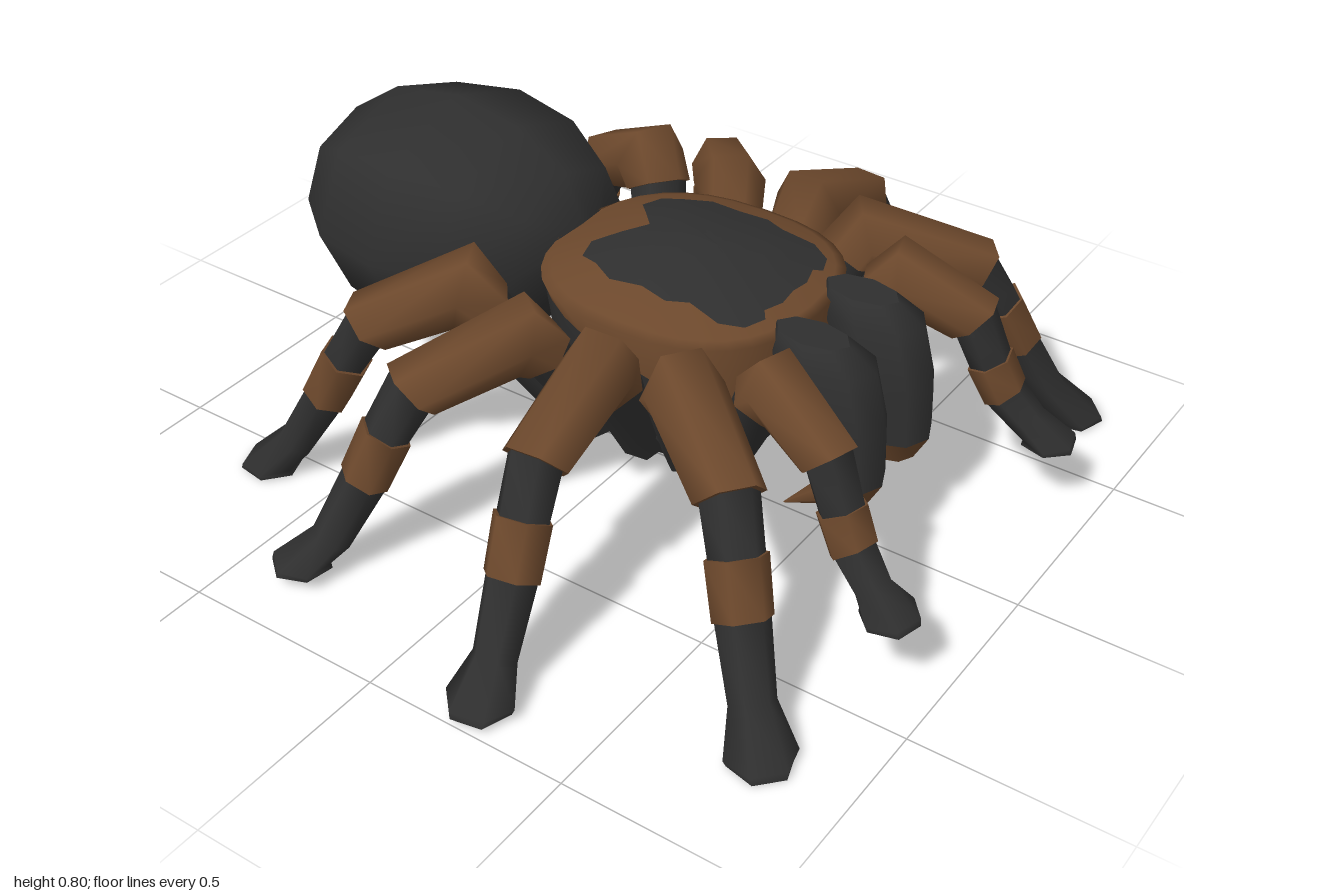
import * as THREE from 'three';

const V = (x, y, z) => new THREE.Vector3(x, y, z);
const X = V(1, 0, 0), Y = V(0, 1, 0), Z = V(0, 0, 1);

// Elliptical ring around c, spanned by s and n (s x n points along the loft)
function ring(c, s, n, a, b, sides) {
  return Array.from({ length: sides }, (_, j) => {
    const t = (j / sides) * Math.PI * 2;
    return c.clone().addScaledVector(s, a * Math.cos(t)).addScaledVector(n, b * Math.sin(t));
  });
}

// Skin a list of rings; smooth sides, sharp end caps
function loft(rings, capStart = true, capEnd = true) {
  const pos = [], idx = [], m = rings[0].length;
  rings.forEach(r => r.forEach(p => pos.push(p.x, p.y, p.z)));
  for (let i = 0; i < rings.length - 1; i++) {
    for (let j = 0; j < m; j++) {
      const a = i * m + j, b = i * m + (j + 1) % m;
      idx.push(a, b, a + m, b, b + m, a + m);
    }
  }
  const cap = (r, flip) => {
    const o = pos.length / 3;
    r.forEach(p => pos.push(p.x, p.y, p.z));
    for (let j = 1; j < m - 1; j++) {
      if (flip) idx.push(o, o + j + 1, o + j);
      else idx.push(o, o + j, o + j + 1);
    }
  };
  if (capStart) cap(rings[0], true);
  if (capEnd) cap(rings[rings.length - 1], false);
  const g = new THREE.BufferGeometry();
  g.setAttribute('position', new THREE.Float32BufferAttribute(pos, 3));
  g.setIndex(idx);
  g.computeVertexNormals();
  return g;
}

// Carapace plan: rounded rectangle, with a low dome over it
const RX = 0.31, RZ = 0.328, CZ = 0.135, POW = 2.5;
const planNorm = (x, z) =>
  (Math.abs(x / RX) ** POW + Math.abs((z - CZ) / RZ) ** POW) ** (1 / POW);
const domeY = (x, z) => 0.642 - 0.08 * planNorm(x, z) ** 1.8;
// Lower edge of the brown, dipping towards the front
const hemY = (x, z) => 0.485 - 0.27 * (z - CZ);

function planRing(k, height, sides = 32) {
  return Array.from({ length: sides }, (_, j) => {
    const t = (j / sides) * Math.PI * 2;
    const c = Math.cos(t), s = Math.sin(t), e = 2 / POW;
    const x = k * RX * Math.sign(c) * Math.abs(c) ** e;
    const z = CZ + k * RZ * Math.sign(s) * Math.abs(s) ** e;
    return V(x, height(x, z), z);
  });
}

export function createModel() {
  const model = new THREE.Group();
  model.name = 'spider';
  const black = new THREE.MeshStandardMaterial({ name: 'charcoal', color: 0x2f2f2f });
  const brown = new THREE.MeshStandardMaterial({ name: 'brown', color: 0x6c482c });
  const add = (name, geo, mat, parent = model) => {
    const mesh = new THREE.Mesh(geo, mat);
    mesh.name = name;
    parent.add(mesh);
  };

  // Abdomen: eight-sided egg along z
  add('abdomen', loft([
    [-0.935, 0.004], [-0.86, 0.57], [-0.72, 0.9], [-0.54, 1],
    [-0.36, 0.9], [-0.22, 0.64], [-0.17, 0.2],
  ].map(([z, k]) => ring(V(0, 0.5, z), X, Y, 0.34 * k, 0.295 * k, 8))), black);

  // Carapace dome and sides, then the dark underside
  add('carapace', loft([
    ...[0.01, 0.2, 0.4, 0.6, 0.8, 0.93, 1].map(k => planRing(k, domeY)),
    planRing(0.98, hemY),
  ], true, false), brown);
  add('underside', loft([
    planRing(0.98, hemY), planRing(0.87, () => 0.28),
    planRing(0.68, () => 0.195), planRing(0.42, () => 0.17),
  ], false, true), black);

  // Ragged, notched dark patch lying on the dome
  const half = [
    [0.05, -0.03], [0.1, -0.075], [0.155, -0.06], [0.172, -0.01], [0.205, 0.05], [0.195, 0.13],
    [0.208, 0.2], [0.187, 0.25], [0.198, 0.33], [0.17, 0.38], [0.12, 0.4], [0.1, 0.385], [0.05, 0.4],
  ];
  const outline = [[0, 0.015], ...half, [0, 0.395], ...half.map(([x, z]) => [-x, z]).reverse()];
  add('carapacePatch', loft([0.01, 0.25, 0.5, 0.75, 1].map(k => outline.map(([x, z]) => {
    const px = x * k, pz = 0.2 + (z - 0.2) * k;
    return V(px, domeY(px, pz) + 0.005, pz);
  })), true, false), black);

  // Jaws with brown tips and back-curving fangs
  for (const side of [1, -1]) {
    const jaw = new THREE.Group();
    jaw.name = side > 0 ? 'leftJaw' : 'rightJaw';
    model.add(jaw);
    const rings = list => list.map(([y, z, a, b]) => ring(V(side * 0.105, y, z), X, Z, a, b, 8));
    add('jawBase', loft(rings([
      [0.585, 0.51, 0.05, 0.09], [0.54, 0.54, 0.084, 0.13],
      [0.4, 0.59, 0.087, 0.11], [0.26, 0.615, 0.083, 0.085],
    ])), black, jaw);
    add('jawTip', loft(rings([[0.26, 0.615, 0.083, 0.085], [0.195, 0.605, 0.05, 0.06]])), brown, jaw);
    add('fang', loft(rings([[0.21, 0.6, 0.052, 0.06], [0.11, 0.46, 0.003, 0.003]])), brown, jaw);
  }

  // Limbs: coxa, peaked femur, dark band, brown band, shin flaring to a flat foot
  // Heights: coxa base, femur root, femur peak, knee, band start, band end, ankle
  const legY = [0.23, 0.49, 0.54, 0.45, 0.35, 0.235, 0.09];
  const palpY = [0.25, 0.5, 0.545, 0.46, 0.36, 0.28, 0.215];
  const backY = [0.23, 0.51, 0.565, 0.455, 0.35, 0.235, 0.09];
  const limbs = [
    { name: 'Palp', base: [0.18, 0.36], hip: [0.27, 0.525], knee: [0.32, 0.685], foot: [0.37, 0.875], sole: 0.165, h: palpY, size: 0.9 },
    { name: 'FrontLeg', base: [0.22, 0.27], hip: [0.38, 0.368], knee: [0.53, 0.58], foot: [0.72, 0.79], sole: 0, h: legY, size: 1 },
    { name: 'SecondLeg', base: [0.23, 0.16], hip: [0.425, 0.18], knee: [0.66, 0.19], foot: [0.93, 0.24], sole: 0.015, h: legY, size: 1 },
    { name: 'ThirdLeg', base: [0.22, 0.03], hip: [0.41, -0.035], knee: [0.61, -0.185], foot: [0.82, -0.355], sole: 0.03, h: legY, size: 0.97 },
    { name: 'BackLeg', base: [0.2, -0.09], hip: [0.36, -0.235], knee: [0.465, -0.43], foot: [0.565, -0.69], sole: 0.005, h: backY, size: 1 },
  ];
  // Name, colour and radius at each joint, beginning at the given joint
  const segments = [
    ['coxa', black, 0, [0.055, 0.07]], ['femur', brown, 1, [0.08, 0.09, 0.08]],
    ['darkBand', black, 3, [0.066, 0.061]], ['brownBand', brown, 4, [0.069, 0.066]],
    ['shin', black, 5, [0.06, 0.052]],
  ];

  function buildLimb(limb, side) {
    const group = new THREE.Group();
    group.name = (side > 0 ? 'left' : 'right') + limb.name;
    model.add(group);
    const { base, hip, knee, foot, size } = limb;
    const femurLength = Math.hypot(knee[0] - hip[0], knee[1] - hip[1]);
    const root = hip.map((h, i) => h - (knee[i] - h) * 0.045 / femurLength);
    const mix = f => knee.map((k, i) => k + (foot[i] - k) * f);
    const plan = [base, root, hip, knee, mix(0.22), mix(0.43), mix(0.74)];
    const pts = plan.map(([x, z], i) => V(side * x, limb.h[i], z));
    const dirs = pts.slice(1).map((p, i) => p.clone().sub(pts[i]).normalize());

    // Mitred six-sided section at joint i
    const joint = (i, r) => {
      const before = dirs[Math.max(i - 1, 0)], after = dirs[Math.min(i, dirs.length - 1)];
      const t = before.clone().add(after).normalize();
      const s = Y.clone().cross(t).normalize();
      const n = t.clone().cross(s);
      return ring(pts[i], s, n, r, (0.9 * r) / Math.max(t.dot(before), 0.65), 6);
    };
    for (const [name, mat, start, radii] of segments) {
      const rings = radii.map((r, i) => joint(start + i, r * size));
      if (name === 'shin') {
        const out = V(side * (foot[0] - knee[0]), 0, foot[1] - knee[1]).normalize();
        const across = Y.clone().cross(out);
        const sole = V(side * foot[0], limb.sole, foot[1]);
        rings.push(
          ring(sole.clone().addScaledVector(Y, 0.015), across, out, 0.08 * size, 0.068 * size, 6),
          ring(sole, across, out, 0.073 * size, 0.074 * size, 6));
      }
      add(name, loft(rings), mat, group);
    }
  }
  for (const limb of limbs) for (const side of [1, -1]) buildLimb(limb, side);

  return model;
}
